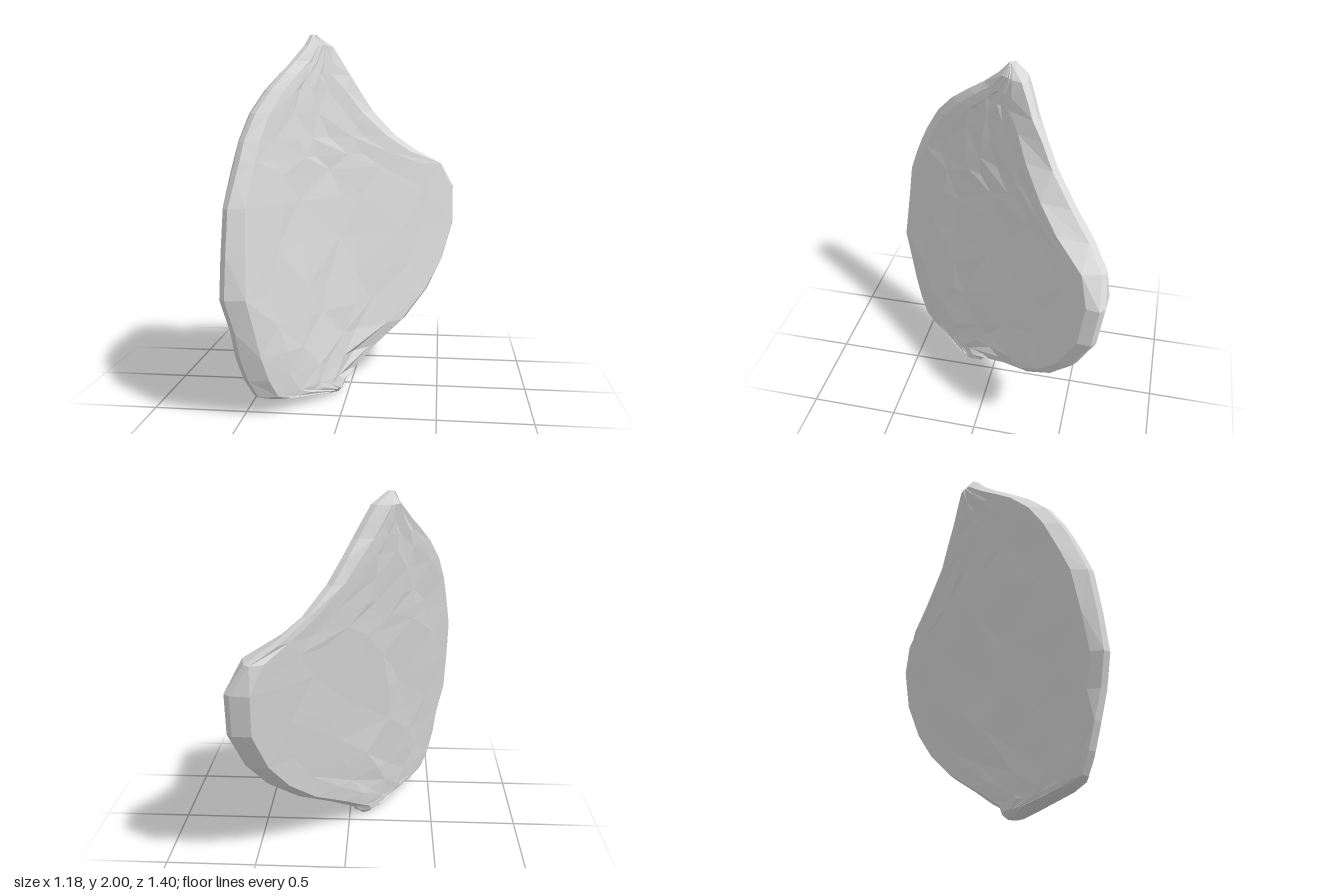
import * as THREE from 'three';

// Level slices from top to bottom:
// [height, left end, left edge depth, right end, right edge depth]
const SLICES = [
  [2.00, -0.11, -0.20, -0.08, -0.21], [1.94, -0.16, -0.19, 0.02, -0.19],
  [1.85, -0.27, -0.17, 0.09, -0.18], [1.78, -0.37, -0.14, 0.14, -0.17],
  [1.69, -0.49, -0.11, 0.22, -0.17], [1.57, -0.61, -0.09, 0.32, -0.16],
  [1.43, -0.70, -0.07, 0.49, -0.145], [1.33, -0.745, -0.05, 0.66, -0.12],
  [1.25, -0.78, -0.04, 0.81, -0.07], [1.10, -0.84, -0.025, 0.885, 0.00],
  [0.87, -0.87, -0.01, 0.865, 0.02], [0.65, -0.89, 0.00, 0.75, 0.03],
  [0.48, -0.84, 0.014, 0.60, 0.04], [0.33, -0.80, 0.00, 0.405, 0.035],
  [0.20, -0.75, 0.00, 0.165, 0.015], [0.10, -0.69, 0.01, 0.00, 0.01],
  [0.07, -0.60, 0.02, -0.06, 0.01], [0.03, -0.33, 0.02, -0.08, 0.01],
  [0.00, -0.20, 0.02, -0.12, 0.01],
];
const COLUMNS = 8;

// Slab space (across, height, depth) to world: the slab stands diagonally
const place = (u, y, d) => new THREE.Vector3(0.64 * u + 0.77 * d, y, -0.77 * u + 0.64 * d);

// Both broad faces lean back and bend gently along an upright valley
const bend = (u) => Math.hypot(u + 0.05, 0.08) - 0.08;
function frontDepth(u, y) {
  const notch = u > -0.1 && y < 0.3 ? 0.03 : 0;
  return Math.min(0.09, 0.075 - 0.115 * y + 0.135 * bend(u)) - notch;
}
const backDepth = (u, y) => -0.055 - 0.11 * y + 0.09 * bend(u);

// One closed outline: left edge, front face, right edge, back face
function slice([y, uL, eL, uR, eR], i) {
  const width = uR - uL;
  const last = SLICES.length - 1;
  const full = i === 0 ? 0.3 : i === last ? 0.5 : 1;
  const inset = (size) => Math.min(size, width * 0.3);
  const edge = Math.min(0.02, width * 0.2);

  const face = (depth, a, b, seed) => Array.from({ length: COLUMNS }, (_, j) => {
    const inner = j > 0 && j < COLUMNS - 1 ? 1 : 0;
    const chip = inner * Math.sin(j * 2.7 + i * 1.3 + seed);
    const u = a + (b - a) * (j + 0.25 * chip) / (COLUMNS - 1);
    const rim = (eL + eR) / 2;
    return place(u, y, rim + (depth(u, y) - rim) * full + 0.004 * chip);
  });
  const front = face(frontDepth, uL + inset(0.08), uR - inset(y > 1.25 ? 0.15 : 0.06), 0);
  const back = face(backDepth, uL + inset(0.05), uR - inset(0.06), 2);
  return [
    place(uL, y, eL - edge), place(uL, y, eL + edge), ...front,
    place(uR, y, eR + edge), place(uR, y, eR - edge), ...back.reverse(),
  ];
}

export function createModel() {
  const group = new THREE.Group();
  const stone = new THREE.MeshStandardMaterial({ color: 0xd8d8d8, flatShading: true });
  stone.name = 'pale grey stone';

  const rings = SLICES.map(slice);
  const n = rings[0].length;
  const points = [];
  // Skin between neighbouring slices
  for (let i = 0; i < rings.length - 1; i++) {
    const [a, b] = [rings[i], rings[i + 1]];
    for (let j = 0; j < n; j++) {
      const k = (j + 1) % n;
      if ((i + j) % 2) points.push(a[j], b[j], b[k], a[j], b[k], a[k]);
      else points.push(a[j], b[j], a[k], a[k], b[j], b[k]);
    }
  }
  // Small caps at the peak and the foot
  const top = rings[0];
  const foot = rings[rings.length - 1];
  for (let j = 1; j < n - 1; j++) {
    points.push(top[0], top[j], top[j + 1]);
    points.push(foot[0], foot[j + 1], foot[j]);
  }

  const geometry = new THREE.BufferGeometry().setFromPoints(points);
  geometry.computeVertexNormals();
  const slab = new THREE.Mesh(geometry, stone);
  slab.name = 'stoneSlab';
  group.add(slab);
  return group;
}
